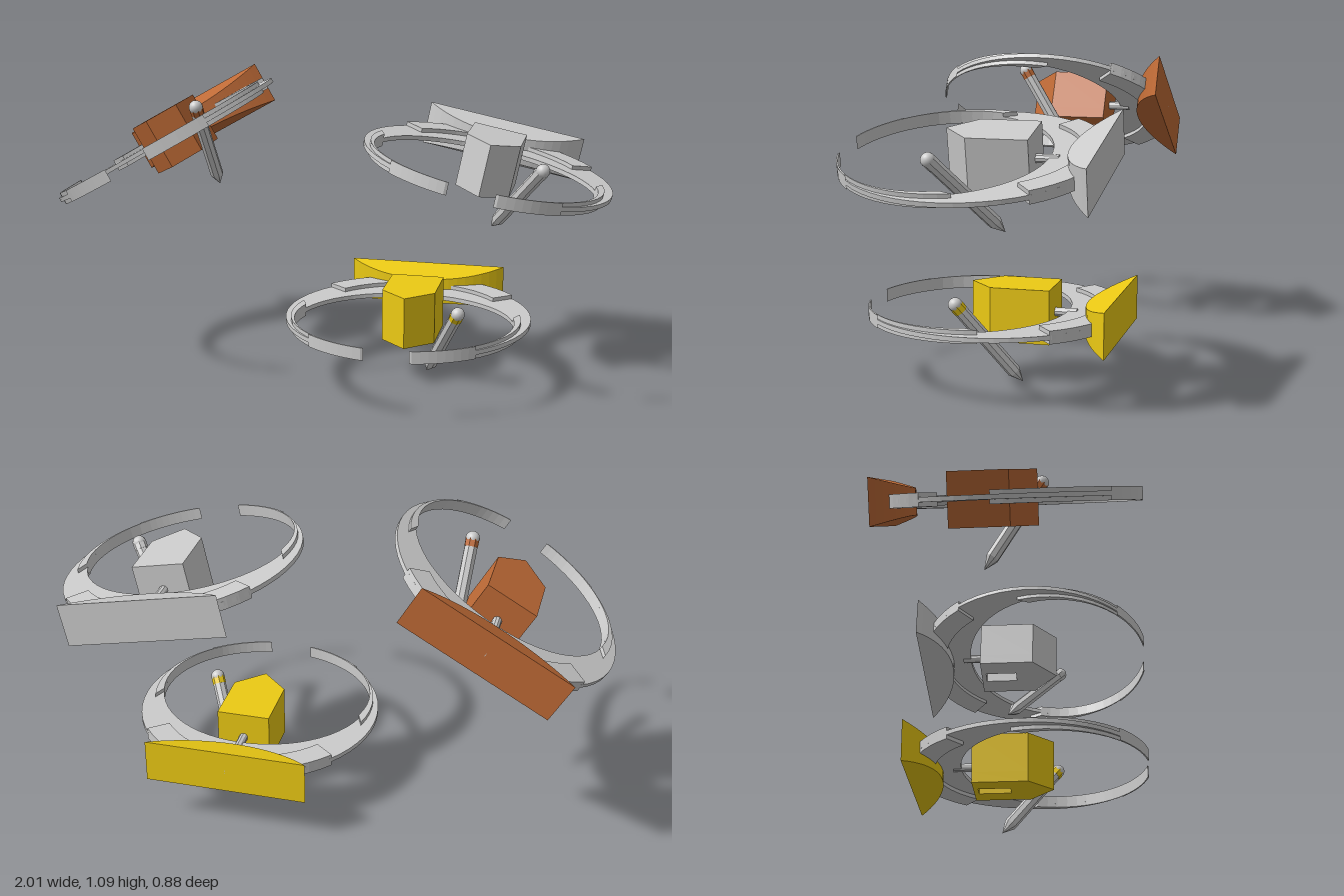
import * as THREE from 'three';

const grey = new THREE.MeshStandardMaterial({ color: 0xcccccc, flatShading: true });

function add(parent, name, geometry, material) {
  const mesh = new THREE.Mesh(geometry, material);
  mesh.name = name;
  parent.add(mesh);
  return mesh;
}

// Extrudes a plan outline (x, z) into a slab centred on height y
function slab(shape, height, y = 0) {
  const g = new THREE.ExtrudeGeometry(shape, { depth: height, bevelEnabled: false });
  return g.rotateX(Math.PI / 2).translate(0, y + height / 2, 0);
}

// Ring curves; t = 0 is the back, t = PI the front
const circle = (r) => (t) => new THREE.Vector2(r * Math.sin(t), -r * Math.cos(t));
const outer = circle(0.445);
const inner = (t) => new THREE.Vector2(0.395 * Math.sin(t), 0.09 - 0.35 * Math.cos(t));
const wallOuter = (t) => inner(t).lerp(outer(t), 0.4);

// Curved band between two ring curves
function band(a, b, t0, t1, height) {
  const n = Math.max(8, Math.ceil((t1 - t0) * 9));
  const pts = [];
  for (let i = 0; i <= n; i++) pts.push(b(t0 + (t1 - t0) * i / n));
  for (let i = n; i >= 0; i--) pts.push(a(t0 + (t1 - t0) * i / n));
  return slab(new THREE.Shape(pts), height);
}

const bodyOutline = () => new THREE.Shape([
  [-0.097, -0.213], [0.097, -0.213], [0.097, -0.005], [0, 0.085], [-0.097, -0.005],
].map(([x, z]) => new THREE.Vector2(x, z)));

// Rear shield: curved front, flat back, growing taller towards the back
function shieldGeometry() {
  const pts = [];
  const half = Math.asin(0.295 / 0.436);
  for (let i = 0; i <= 20; i++) {
    const a = -half + 2 * half * i / 20;
    pts.push(new THREE.Vector2(0.436 * Math.sin(a), -0.766 + 0.436 * Math.cos(a)));
  }
  const g = slab(new THREE.Shape(pts), 2);
  const p = g.attributes.position;
  for (let i = 0; i < p.count; i++) {
    const k = (-0.33 - p.getZ(i)) / 0.115;
    p.setY(i, p.getY(i) * (0.046 + 0.034 * k));
  }
  g.computeVertexNormals();
  return g;
}

// Slanted probe: ball, coloured collar, faceted rod and pointed tip
function createProbe(material) {
  const probe = new THREE.Group();
  probe.name = 'probe';
  const from = new THREE.Vector3(0.195, 0.052, 0.09);
  const axis = new THREE.Vector3(0.055, -0.24, -0.11).sub(from);
  const length = axis.length();
  const smooth = grey.clone();
  smooth.flatShading = false;
  add(probe, 'probeBall', new THREE.SphereGeometry(0.025, 16, 12), smooth);
  const piece = (name, r0, r1, y0, y1, mat) => add(probe, name,
    new THREE.CylinderGeometry(r1, r0, y1 - y0, 8).translate(0, (y0 + y1) / 2, 0), mat);
  piece('probeCollar', 0.025, 0.025, 0, 0.03, material);
  piece('probeRod', 0.024, 0.024, 0.03, length - 0.05, grey);
  piece('probeTip', 0.024, 0.001, length - 0.05, length, grey);
  probe.position.copy(from);
  probe.quaternion.setFromUnitVectors(new THREE.Vector3(0, 1, 0), axis.normalize());
  return probe;
}

function createCraft(name, color, x, y, roll) {
  const craft = new THREE.Group();
  craft.name = name;
  const paint = new THREE.MeshStandardMaterial({ color, flatShading: true });

  // Body with a slot in its underside
  add(craft, 'bodyTop', slab(bodyOutline(), 0.15, 0.02), paint);
  const lower = bodyOutline();
  lower.holes.push(new THREE.Path([
    [-0.025, -0.195], [-0.025, -0.075], [0.025, -0.075], [0.025, -0.195],
  ].map(([px, pz]) => new THREE.Vector2(px, pz))));
  add(craft, 'bodyBottom', slab(lower, 0.04, -0.075), paint);

  // Strut between body and ring
  add(craft, 'strut', new THREE.CylinderGeometry(0.016, 0.016, 0.09, 10)
    .rotateX(Math.PI / 2).translate(0, 0, -0.245), grey);

  // Open crescent ring
  const cut = 2.42;
  add(craft, 'ringFlange', band(inner, outer, -cut, cut, 0.016), grey);
  add(craft, 'ringBackBlock', band(circle(0.36), outer, -0.9, 0.9, 0.045), grey);
  for (const s of [-1, 1]) {
    const side = s > 0 ? 'left' : 'right';
    const arc = (a, b, t0, t1) => band(a, b, Math.min(s * t0, s * t1), Math.max(s * t0, s * t1), 0.045);
    add(craft, side + 'RingWall', arc(inner, wallOuter, 1.31, cut), grey);
    add(craft, side + 'RingTip', arc(inner, outer, cut, 2.94), grey);
  }

  add(craft, 'rearShield', shieldGeometry(), paint);
  craft.add(createProbe(paint));

  craft.position.set(x, y, 0);
  craft.rotation.z = THREE.MathUtils.degToRad(roll);
  return craft;
}

export function createModel() {
  const model = new THREE.Group();
  model.name = 'craftFormation';
  model.add(
    createCraft('yellowCraft', 0xecca14, 0.288, 0.245, 0),
    createCraft('greyCraft', 0xcccccc, 0.565, 0.822, -11.5),
    createCraft('brownCraft', 0xbe6a36, -0.617, 0.863, 30),
  );
  return model;
}
